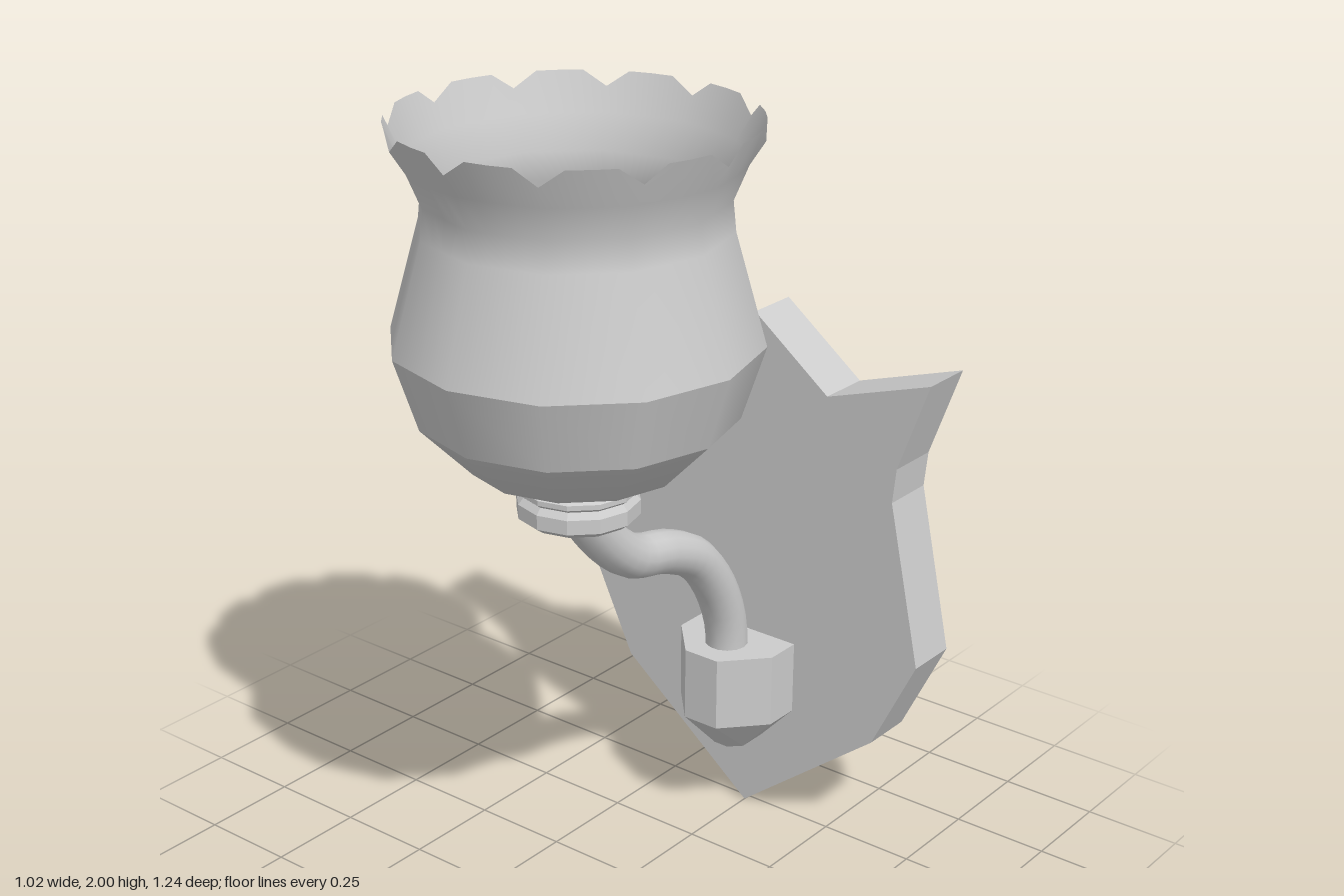
import * as THREE from 'three';
import { ConvexGeometry } from 'three/addons/geometries/ConvexGeometry.js';

const CUP_Z = 0.193;
const solid = new THREE.MeshStandardMaterial({ color: 0xcccccc });
const thin = new THREE.MeshStandardMaterial({ color: 0xcccccc, side: THREE.DoubleSide });
const flat = new THREE.MeshStandardMaterial({ color: 0xcccccc, flatShading: true });

function part(name, geometry, material, parent) {
  const mesh = new THREE.Mesh(geometry, material);
  mesh.name = name;
  parent.add(mesh);
  return mesh;
}

const profile = (pairs) => pairs.map(([r, y]) => new THREE.Vector2(r, y));

// Upper shade: twelve-sided below, opening to a round rim with V-shaped notches
function upperShade() {
  const geometry = new THREE.LatheGeometry(
    profile([[0.425, 1.5], [0.352, 1.76], [0.345, 1.83], [0.378, 1.91], [0.412, 2]]), 48);
  const pos = geometry.attributes.position;
  const step = Math.PI / 6;
  for (let i = 0; i < pos.count; i++) {
    const y = pos.getY(i);
    const column = Math.floor(i / 5) % 4;
    const offset = (column * step) / 4 - step / 2;
    const facet = Math.cos(step / 2) / Math.cos(offset);
    const round = THREE.MathUtils.clamp((y - 1.83) / 0.17, 0, 1);
    const k = THREE.MathUtils.lerp(facet, 1, round);
    pos.setX(i, pos.getX(i) * k);
    pos.setZ(i, pos.getZ(i) * k);
    if (y > 1.99 && column === 0) pos.setY(i, 1.963);
  }
  return geometry;
}

export function createModel() {
  const model = new THREE.Group();
  model.name = 'wallLamp';

  // Shield-shaped wall plate, mirrored about its centre line
  const half = [[0.39, 0.31], [0.51, 0.56], [0.418, 0.98], [0.427, 1.07], [0.51, 1.302], [0.22, 1.206]];
  const outline = [[0, 0], ...half, [0, 1.375], ...half.map(([x, y]) => [-x, y]).reverse()];
  const plate = new THREE.ExtrudeGeometry(new THREE.Shape(profile(outline)),
    { depth: 0.14, bevelEnabled: false });
  plate.translate(0, 0, -0.62);
  part('wallPlate', plate, solid, model);

  // Faceted bracket with a tapered underside
  const ring = (y, points) => points.flatMap(([x, z]) =>
    [new THREE.Vector3(x, y, z), new THREE.Vector3(-x, y, z)]);
  const block = [[0.145, -0.48], [0.145, -0.385], [0.05, -0.28]];
  const foot = [[0.05, -0.48], [0.05, -0.4], [0.02, -0.37]];
  part('bracket', new ConvexGeometry([...ring(0.51, block), ...ring(0.318, block), ...ring(0.215, foot)]),
    flat, model);

  // Curved arm from the bracket up into the collar
  const path = new THREE.CatmullRomCurve3([
    [0.46, -0.388], [0.53, -0.386], [0.6, -0.372], [0.7, -0.325], [0.8, -0.24], [0.86, -0.12],
    [0.89, -0.005], [0.95, 0.08], [1.06, 0.178], [1.125, 0.213],
  ].map(([y, z]) => new THREE.Vector3(0, y, z)));
  part('arm', new THREE.TubeGeometry(path, 24, 0.055, 14), solid, model);
  const cap = part('armEnd', new THREE.CircleGeometry(0.055, 14), thin, model);
  const end = path.getPoint(1);
  cap.position.copy(end);
  cap.lookAt(end.clone().add(path.getTangent(1)));

  // Lamp head: collar and three shade bands meeting at hard edges
  const head = new THREE.Group();
  head.name = 'lampHead';
  head.position.z = CUP_Z;
  model.add(head);
  part('collar', new THREE.LatheGeometry(profile([
    [0, 1.065], [0.125, 1.065], [0.145, 1.08], [0.145, 1.115], [0.132, 1.13],
    [0.142, 1.138], [0.142, 1.15], [0.125, 1.157], [0.12, 1.08], [0, 1.08],
  ]), 12), flat, head);
  part('shadeBase', new THREE.LatheGeometry(profile([[0.125, 1.155], [0.25, 1.205], [0.37, 1.328]]), 12),
    thin, head);
  part('shadeBelly', new THREE.LatheGeometry(profile([[0.37, 1.328], [0.425, 1.5]]), 12), thin, head);
  part('shadeUpper', upperShade(), thin, head);

  return model;
}
